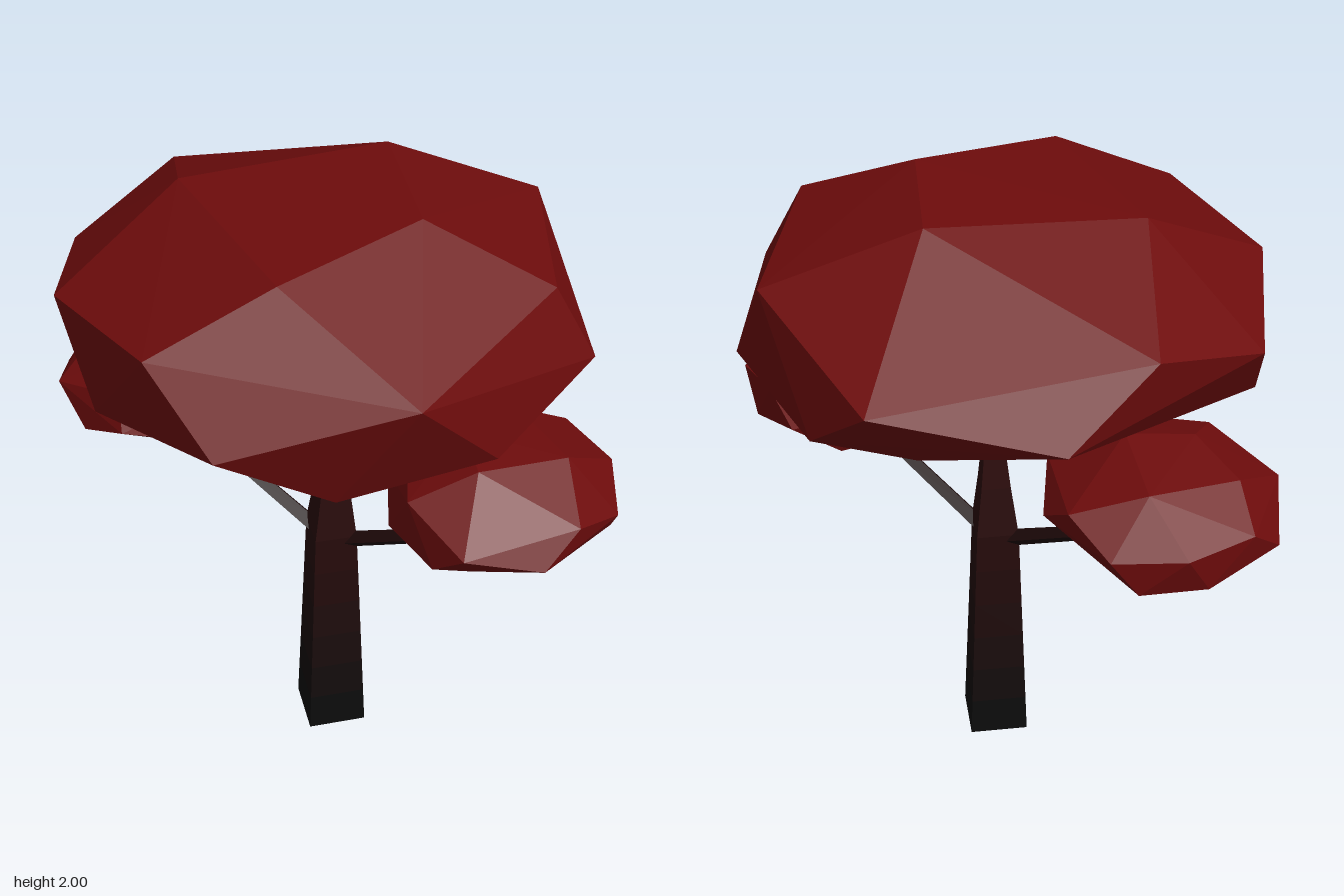
import * as THREE from 'three';
import { ConvexGeometry } from 'three/addons/geometries/ConvexGeometry.js';

const LEAF = 0x6e0c0c;

// Faceted crown: one rough boulder shape, reused at several sizes and turns
const crownPoints = [
  // flat top
  [0.31, 2, 0], [0, 2, -0.34], [-0.42, 1.975, 0.13], [0.13, 1.965, 0.455],
  // upper shoulder
  [0.68, 1.85, -0.1], [0.6, 1.765, 0.5], [-0.11, 1.805, 0.74], [-0.56, 1.76, 0.55],
  [-0.72, 1.79, -0.25], [0.36, 1.82, -0.63],
  // widest ring
  [0.785, 1.62, -0.17], [0.15, 1.61, 0.8], [-0.81, 1.67, 0.15], [-0.17, 1.68, -0.8],
  [-0.61, 1.58, -0.5],
  // lower shoulder
  [0.7, 1.49, 0.24], [0.36, 1.39, 0.53], [-0.38, 1.475, 0.63], [-0.7, 1.44, 0.32],
  [0.09, 1.485, -0.74], [0.54, 1.53, -0.56],
  // underside
  [0, 1.285, 0.34], [0.39, 1.32, -0.1], [-0.36, 1.305, -0.08], [-0.05, 1.325, -0.45],
];

function crown(name, min, max, turn = 0, tilt = 0) {
  const geo = new ConvexGeometry(crownPoints.map((p) => new THREE.Vector3(...p)));
  geo.center();
  geo.rotateY(turn);
  geo.rotateZ(tilt);
  // Fit the turned shape to its box
  geo.computeBoundingBox();
  const have = geo.boundingBox.getSize(new THREE.Vector3());
  const mid = geo.boundingBox.getCenter(new THREE.Vector3());
  const box = new THREE.Box3(new THREE.Vector3(...min), new THREE.Vector3(...max));
  const want = box.getSize(new THREE.Vector3());
  const at = box.getCenter(new THREE.Vector3());
  geo.translate(-mid.x, -mid.y, -mid.z);
  geo.scale(want.x / have.x, want.y / have.y, want.z / have.z);
  geo.translate(at.x, at.y, at.z);
  geo.computeVertexNormals();
  const mesh = new THREE.Mesh(geo, new THREE.MeshStandardMaterial({ color: LEAF, flatShading: true }));
  mesh.name = name;
  return mesh;
}

// Four-sided limb through stations [x, y, z, radius]; the colour shifts per segment
function limb(name, stations, fromColor, toColor) {
  const group = new THREE.Group();
  group.name = name;
  const pts = stations.map((s) => new THREE.Vector3(s[0], s[1], s[2]));
  const last = pts.length - 1;
  const rings = pts.map((p, i) => {
    const t = pts[Math.min(i + 1, last)].clone().sub(pts[Math.max(i - 1, 0)]).normalize();
    const u = t.clone().cross(new THREE.Vector3(0, 0, 1)).normalize();
    const v = u.clone().cross(t);
    return [0, 1, 2, 3].map((k) => p.clone()
      .addScaledVector(u, stations[i][3] * Math.cos(k * Math.PI / 2))
      .addScaledVector(v, stations[i][3] * Math.sin(k * Math.PI / 2)));
  });
  for (let i = 0; i < last; i++) {
    const [a, b] = [rings[i], rings[i + 1]];
    const tri = [];
    for (let k = 0; k < 4; k++) {
      const n = (k + 1) % 4;
      tri.push(a[k], b[k], b[n], a[k], b[n], a[n]);
    }
    // End caps
    if (i === 0) tri.push(a[0], a[1], a[2], a[0], a[2], a[3]);
    if (i === last - 1) tri.push(b[0], b[2], b[1], b[0], b[3], b[2]);
    const geo = new THREE.BufferGeometry().setFromPoints(tri);
    geo.computeVertexNormals();
    const color = new THREE.Color(fromColor).lerp(new THREE.Color(toColor), last > 1 ? i / (last - 1) : 0);
    const mesh = new THREE.Mesh(geo, new THREE.MeshStandardMaterial({ color, flatShading: true }));
    mesh.name = `${name}Segment${i + 1}`;
    group.add(mesh);
  }
  return group;
}

export function createModel() {
  const tree = new THREE.Group();
  tree.name = 'tree';

  // Tapered trunk, darkest at the ground
  const trunk = [];
  for (let i = 0; i <= 6; i++) trunk.push([0.03, 0.8 * i / 6, 0.018, 0.135 - 0.04 * i / 6]);
  trunk.push([0.032, 0.97, 0.016, 0.066], [0.035, 1.14, 0.015, 0.042]);
  tree.add(limb('trunk', trunk, 0x0c0c0c, 0x2c0a0a));

  // Side branches reaching the small crowns
  tree.add(limb('leftBranch', [
    [0.05, 0.755, 0.018, 0.03], [0.43, 0.94, 0.018, 0.025], [0.5, 1.02, 0.018, 0.025], [0.56, 1.1, 0.018, 0.02],
  ], 0x1e0909, 0x520c0c));
  tree.add(limb('rightBranch', [
    [0, 0.76, 0.018, 0.03], [-0.34, 0.93, 0.018, 0.025], [-0.42, 1.02, 0.018, 0.025], [-0.5, 1.1, 0.018, 0.02],
  ], 0x1e0909, 0x520c0c));

  // Fork holding the main crown
  tree.add(limb('leftFork', [
    [0.035, 1.1, 0.015, 0.035], [0.12, 1.21, 0.1, 0.028], [0.15, 1.29, 0.12, 0.022], [0.15, 1.36, 0.13, 0.018],
  ], 0x2c0a0a, 0x5a0c0c));
  tree.add(limb('rightFork', [
    [0.03, 1.1, 0.015, 0.035], [-0.02, 1.21, -0.1, 0.028], [-0.03, 1.28, -0.14, 0.022], [-0.025, 1.36, -0.15, 0.018],
  ], 0x2c0a0a, 0x5a0c0c));

  // Foliage
  tree.add(crown('mainCrown', [-0.81, 1.285, -0.8], [0.785, 2, 0.8]));
  tree.add(crown('leftCrown', [0.265, 1, -0.36], [0.95, 1.345, 0.36], Math.PI));
  tree.add(crown('rightCrown', [-0.955, 1, -0.36], [-0.235, 1.345, 0.36], -Math.PI / 2, 0.1));

  return tree;
}
